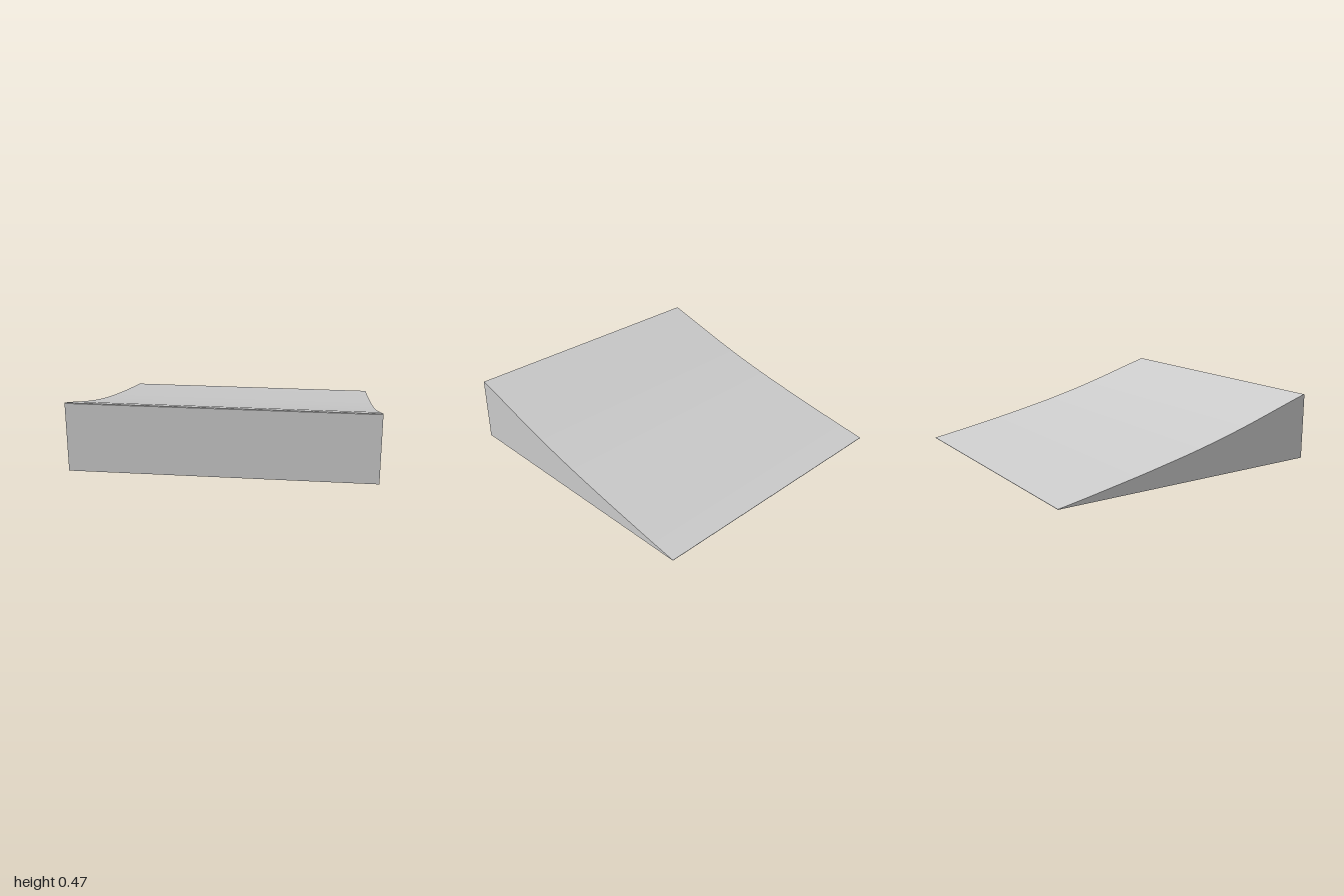
import * as THREE from 'three';
import { toCreasedNormals } from 'three/addons/utils/BufferGeometryUtils.js';

export function createModel() {
  const group = new THREE.Group();
  group.name = 'wedge';

  // Side profile, drawn as (z, y): gently curved slope from the tall front to the thin back edge
  const slope = [
    [0.995, 0.473], [0.8, 0.415], [0.6, 0.354], [0.4, 0.296], [0.2, 0.243], [0, 0.195],
    [-0.2, 0.152], [-0.4, 0.111], [-0.6, 0.073], [-0.8, 0.036], [-0.99, 0.003],
  ].map(([z, y]) => new THREE.Vector2(z, y));
  const profile = new THREE.Shape();
  profile.moveTo(-0.99, 0);
  profile.lineTo(1, 0.009);
  profile.lineTo(1, 0.468);
  profile.lineTo(slope[0].x, slope[0].y);
  profile.splineThru(slope.slice(1));
  profile.closePath();

  // Extrude across the width and turn the profile to run along z
  const width = 1.99;
  const geometry = new THREE.ExtrudeGeometry(profile, { depth: width, bevelEnabled: false, curveSegments: 4 });
  geometry.translate(0, 0, -width / 2);
  geometry.rotateY(-Math.PI / 2);

  const ramp = new THREE.Mesh(
    toCreasedNormals(geometry, 0.5),
    new THREE.MeshStandardMaterial({ color: 0xcccccc })
  );
  ramp.name = 'ramp';
  group.add(ramp);
  return group;
}
